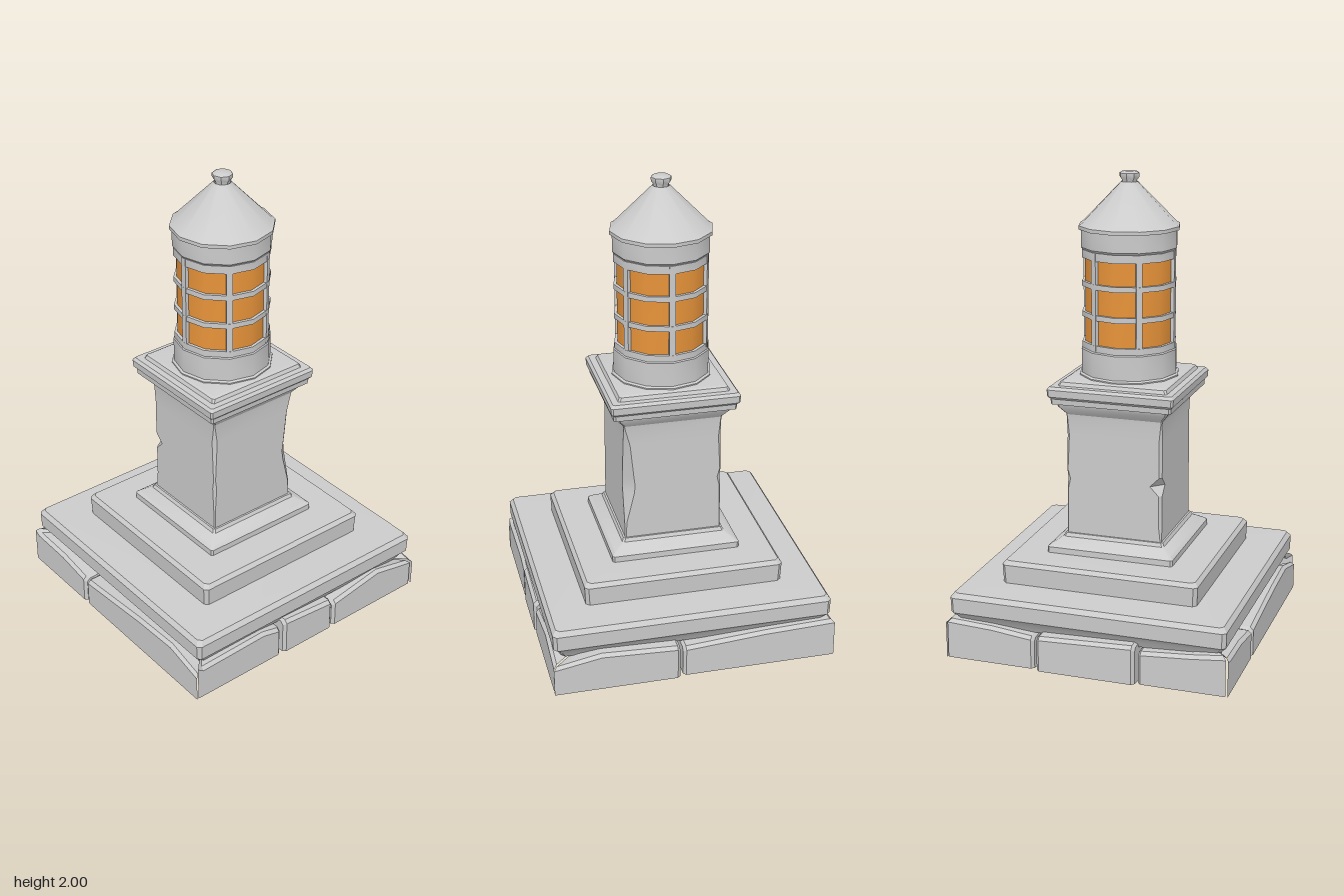
import * as THREE from 'three';
import { toCreasedNormals } from 'three/addons/utils/BufferGeometryUtils.js';

const stoneMat = new THREE.MeshStandardMaterial({ color: 0xcccccc, side: THREE.DoubleSide });
const glassMat = new THREE.MeshStandardMaterial({ color: 0xe8943a });

// Skin a stack of rows (bottom to top), each a list of [x, y, z]
function loft(rows, closed) {
  const n = rows[0].length;
  const index = [];
  for (let j = 0; j < rows.length - 1; j++) {
    for (let i = 0; i < (closed ? n : n - 1); i++) {
      const a = j * n + i, b = j * n + (i + 1) % n;
      index.push(a, b, b + n, a, b + n, a + n);
    }
  }
  const g = new THREE.BufferGeometry();
  g.setAttribute('position', new THREE.Float32BufferAttribute(rows.flat(2), 3));
  g.setIndex(index);
  return toCreasedNormals(g, 0.4);
}

// Square ring with chamfered corners, in order front-left, back-left, back-right, front-right
function squareRing([h, y, c = 0.008]) {
  const [a, b, d, e] = (Array.isArray(c) ? c : [c, c, c, c]).map(v => h - Math.min(v, h));
  return [[a, h], [h, a], [h, -b], [b, -h], [-d, -h], [-h, -d], [-h, e], [-e, h]]
    .map(([x, z]) => [x, y, z]);
}

// One foundation stone in the front plane: tops = [along, height], open below
function stoneGeometry(tops, face, dip) {
  const first = tops[0], last = tops[tops.length - 1];
  const cols = tops.map(([s, t]) => [s, face, t, 0.03]);
  // returns running inward at each joint; mitred ends at the corners
  if (first[0] > -0.59) {
    cols[0][0] += 0.012;
    cols.unshift([first[0], face - 0.2, first[1], dip], [first[0], face - 0.012, first[1] - 0.01, 0.03]);
  }
  if (last[0] < 0.59) {
    cols[cols.length - 1][0] -= 0.012;
    cols.push([last[0], face - 0.012, last[1] - 0.01, 0.03], [last[0], face - 0.2, last[1], dip]);
  }
  const row = (drop, inset) => cols.map(([s, d, t, bottom]) => {
    const depth = d - inset, lim = Math.min(0.6, face) - inset;
    return [THREE.MathUtils.clamp(s, -lim, lim), drop === null ? bottom : t - drop, depth];
  });
  return loft([row(null, 0), row(0.014, 0), row(0, 0.014), row(0, 0.1)], false);
}

function createModel() {
  const model = new THREE.Group();
  const add = (name, geometry, material = stoneMat, parent = model) => {
    const mesh = new THREE.Mesh(geometry, material);
    mesh.name = name;
    parent.add(mesh);
    return mesh;
  };

  // Foundation stones on each side: turn about y, then [face, tops]
  const sides = [
    ['front', 0, 0.03, [
      [0.605, [[-0.6, 0.2], [-0.57, 0.185], [-0.38, 0.18], [-0.205, 0.155]]],
      [0.605, [[-0.195, 0.155], [0.2, 0.19], [0.42, 0.2], [0.6, 0.155]]]]],
    ['left', Math.PI / 2, 0, [
      [0.598, [[-0.6, 0.2], [-0.57, 0.18], [-0.25, 0.19], [-0.155, 0.17]]],
      [0.602, [[-0.14, 0.195], [0.13, 0.175]]],
      [0.598, [[0.14, 0.155], [0.4, 0.2], [0.6, 0.16]]]]],
    ['back', Math.PI, 0.03, [
      [0.612, [[-0.6, 0.16], [-0.4, 0.195], [-0.07, 0.18]]],
      [0.6, [[-0.055, 0.165], [0.3, 0.19], [0.6, 0.2]]]]],
    ['right', -Math.PI / 2, 0, [
      [0.595, [[-0.6, 0.2], [-0.4, 0.19], [-0.215, 0.17]]],
      [0.61, [[-0.2, 0.18], [0.22, 0.195]]],
      [0.595, [[0.23, 0.17], [0.45, 0.185], [0.6, 0.2]]]]]
  ];
  for (const [side, turn, dip, stones] of sides) {
    for (const [face, tops] of stones) {
      add(side + 'FoundationStone', stoneGeometry(tops, face, dip)).rotation.y = turn;
    }
  }

  // Square tiers, open underneath: [half width, height, corner chamfer]
  const tiers = {
    baseSlab: [[0.55, 0.17, 0.015], [0.57, 0.205, 0.015], [0.588, 0.225, 0.015], [0.59, 0.29, 0.015],
      [0.575, 0.31, 0.015], [0.41, 0.315]],
    step: [[0.42, 0.31, 0.015], [0.424, 0.395, 0.015], [0.41, 0.412, 0.015], [0.26, 0.415]],
    columnFoot: [[0.275, 0.41], [0.275, 0.44], [0.262, 0.45], [0.222, 0.475], [0.215, 0.49], [0.2, 0.49]],
    // shaft with worn and chipped corners
    column: [[0.207, 0.485, 0.004], [0.207, 0.56, [0.004, 0.008, 0.004, 0.012]],
      [0.207, 0.69, [0.012, 0.04, 0.006, 0.012]], [0.207, 0.73, [0.006, 0.045, 0.015, 0.05]],
      [0.207, 0.77, [0.008, 0.04, 0.004, 0.01]], [0.207, 0.92, [0.015, 0.025, 0.012, 0.012]],
      [0.207, 1.0, 0.004], [0.21, 1.02, 0.004]],
    capital: [[0.208, 1.01], [0.235, 1.045], [0.24, 1.06], [0.258, 1.062], [0.26, 1.085], [0.27, 1.095],
      [0.272, 1.125], [0.262, 1.137], [0.235, 1.137], [0.228, 1.152], [0.217, 1.157], [0, 1.157]]
  };
  for (const name in tiers) {
    add(name, loft(tiers[name].map(squareRing), true)).position.x = 0.005;
  }

  // Lantern
  const lantern = new THREE.Group();
  lantern.name = 'lantern';
  lantern.position.x = 0.005;
  model.add(lantern);
  const lathe = (name, profile, segments = 12) => add(name, toCreasedNormals(
    new THREE.LatheGeometry(profile.map(p => new THREE.Vector2(...p)), segments), 0.6), stoneMat, lantern);

  lathe('lanternBase', [[0.212, 1.15], [0.212, 1.162], [0.203, 1.168], [0.203, 1.27], [0.195, 1.28], [0, 1.28]]);
  lathe('lanternCollar', [[0, 1.685], [0.195, 1.685], [0.203, 1.695], [0.203, 1.775]]);
  lathe('roof', [[0.19, 1.765], [0.213, 1.768], [0.213, 1.783], [0.2, 1.79], [0.035, 1.958]]);
  lathe('finial', [[0.032, 1.945], [0.033, 1.965], [0.042, 1.978], [0.042, 1.993], [0.03, 2], [0, 2]], 8);

  // Glass behind a cage of hoops and six upright bars
  add('glass', toCreasedNormals(new THREE.CylinderGeometry(0.186, 0.186, 0.42, 12, 1, true), 0.6),
    glassMat, lantern).position.y = 1.48;
  for (const [y, h] of [[1.287, 0.03], [1.418, 0.022], [1.545, 0.022], [1.669, 0.034]]) {
    lathe('cageHoop', [[0.178, y - h / 2], [0.199, y - h / 2], [0.199, y + h / 2], [0.178, y + h / 2]]);
  }
  for (let i = 0; i < 6; i++) {
    const a = i * Math.PI / 3;
    const bar = add('cageBar', new THREE.BoxGeometry(0.026, 0.41, 0.024), stoneMat, lantern);
    bar.position.set(0.185 * Math.sin(a), 1.48, 0.185 * Math.cos(a));
    bar.rotation.y = a;
  }
  return model;
}

export { createModel };
